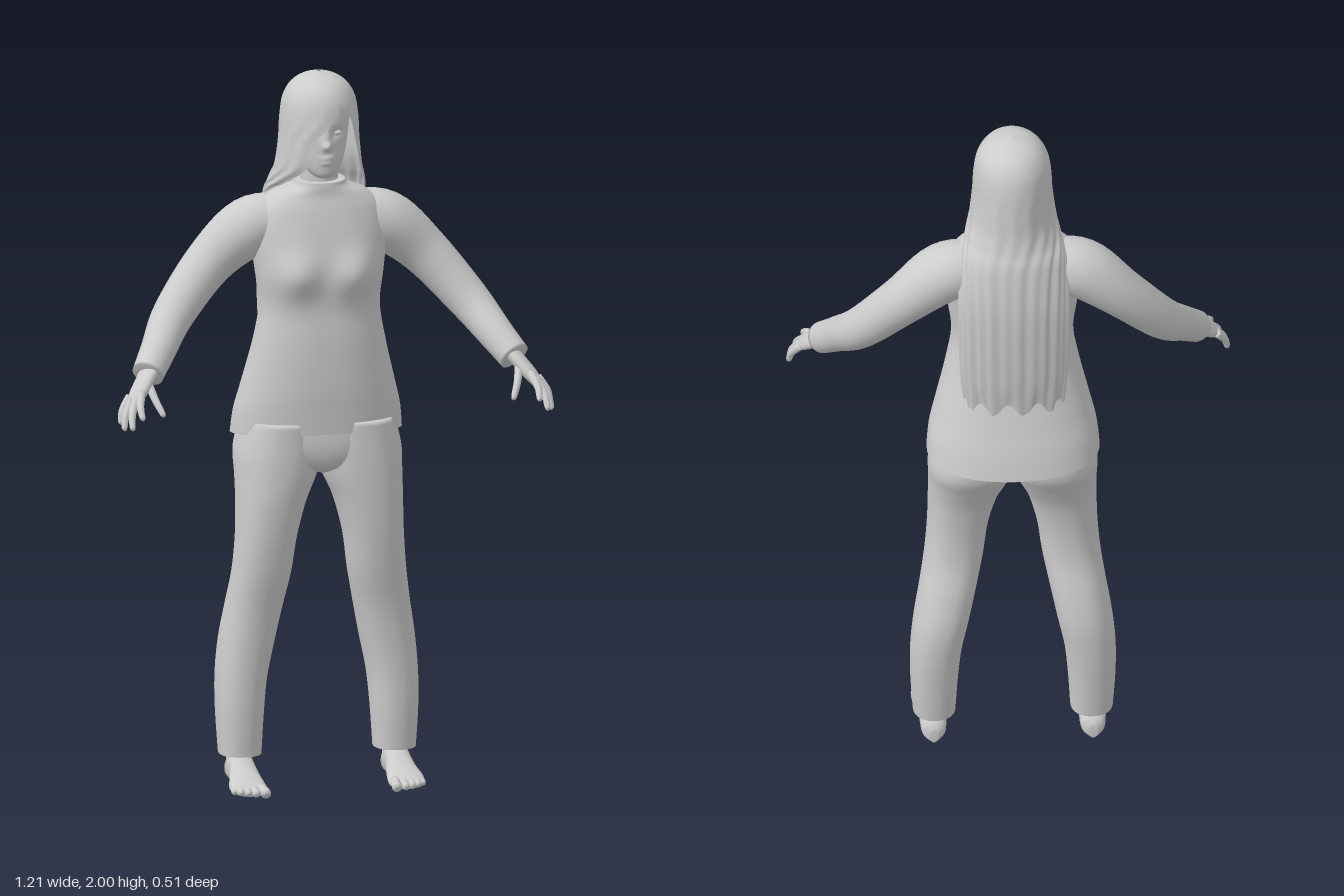
import * as THREE from 'three';

const TAU = Math.PI * 2;
const clay = new THREE.MeshStandardMaterial({ color: 0xcccccc, side: THREE.DoubleSide });
clay.name = 'light grey';

// Catmull-Rom through rows of numbers, column by column
function smooth(rows, steps) {
  const out = [], last = rows.length - 1;
  for (let i = 0; i < last; i++) {
    for (let k = 0; k < steps; k++) {
      const t = k / steps;
      out.push(rows[i].map((b, c) => {
        const a = rows[Math.max(i - 1, 0)][c], d = rows[i + 1][c], e = rows[Math.min(i + 2, last)][c];
        return b + 0.5 * t * (d - a + t * (2 * a - 5 * b + 4 * d - e + t * (3 * (b - d) + e - a)));
      }));
    }
  }
  out.push(rows[last]);
  return out;
}

// Skin over rings; ring(row, u, rowIndex) returns one point
function loft(name, rows, ring, { n = 32, closed = true, capStart = true, capEnd = true } = {}) {
  const pos = [], idx = [], w = closed ? n : n + 1;
  rows.forEach((r, i) => { for (let j = 0; j < w; j++) pos.push(...ring(r, j / n, i)); });
  for (let i = 0; i < rows.length - 1; i++) {
    for (let j = 0; j < n; j++) {
      const a = i * w + j, b = i * w + (j + 1) % w, c = a + w, d = b + w;
      idx.push(a, c, b, b, c, d);
    }
  }
  const cap = (start, flip) => {
    const m = [0, 0, 0], k = pos.length / 3;
    for (let j = 0; j < n; j++) for (let c = 0; c < 3; c++) m[c] += pos[(start + j) * 3 + c] / n;
    pos.push(...m);
    for (let j = 0; j < n; j++) {
      const a = start + j, b = start + (j + 1) % n;
      if (flip) idx.push(k, b, a); else idx.push(k, a, b);
    }
  };
  if (closed && capStart) cap(0, false);
  if (closed && capEnd) cap((rows.length - 1) * w, true);
  const g = new THREE.BufferGeometry();
  g.setAttribute('position', new THREE.Float32BufferAttribute(pos, 3));
  g.setIndex(idx);
  g.computeVertexNormals();
  const mesh = new THREE.Mesh(g, clay);
  mesh.name = name;
  return mesh;
}

const soft = (v, p) => Math.sign(v) * Math.abs(v) ** p;
const bump = (x, y, cx, cy, sx, sy = sx) => Math.exp(-(((x - cx) / sx) ** 2) - ((y - cy) / sy) ** 2);

// Level oval from [y, xMin, xMax, zFront, zBack]
const oval = (p = 0.88) => ([y, x0, x1, zf, zb], u) => [
  (x0 + x1) / 2 + (x1 - x0) / 2 * soft(Math.cos(u * TAU), p), y,
  (zf + zb) / 2 + (zf - zb) / 2 * soft(Math.sin(u * TAU), p)];
const even = rows => rows.map(([y, hw, zf, zb]) => [y, -hw, hw, zf, zb]);

// Tube through [x, y, z, radius]; wide flattens it along a side direction
function limb(name, pts, { steps = 6, n = 20, wide = 1, side = [0, 0, 1], ...opts } = {}) {
  const rows = smooth(pts, steps), at = i => new THREE.Vector3(...rows[i].slice(0, 3));
  const frames = rows.map((r, i) => {
    const t = at(Math.min(i + 1, rows.length - 1)).sub(at(Math.max(i - 1, 0))).normalize();
    const s = new THREE.Vector3(...side);
    s.addScaledVector(t, -s.dot(t)).normalize();
    return [s, s.clone().cross(t)];
  });
  return loft(name, rows, (r, u, i) => at(i)
    .addScaledVector(frames[i][0], r[3] * wide * Math.cos(u * TAU))
    .addScaledVector(frames[i][1], r[3] * Math.sin(u * TAU)).toArray(), { n, ...opts });
}

function blob(name, x, y, z, rx, ry, rz) {
  const m = new THREE.Mesh(new THREE.SphereGeometry(1, 16, 12), clay);
  m.position.set(x, y, z);
  m.scale.set(rx, ry, rz);
  m.name = name;
  return m;
}

function makeShirt() {
  const rows = smooth(even([
    [0.985, 0.237, 0.052, -0.255], [1.05, 0.23, 0.056, -0.238], [1.12, 0.213, 0.06, -0.215],
    [1.25, 0.182, 0.06, -0.178], [1.35, 0.167, 0.054, -0.165], [1.45, 0.178, 0.056, -0.172],
    [1.55, 0.19, 0.044, -0.185], [1.62, 0.175, 0.028, -0.18], [1.66, 0.135, 0.016, -0.16],
    [1.685, 0.08, 0.014, -0.13], [1.70, 0.07, 0.012, -0.122]]), 6);
  const base = oval();
  return loft('shirt', rows, (r, u) => {
    const [x, y, z] = base(r, u);
    const front = Math.sin(u * TAU) > 0 ? 1 : 0;
    const bust = bump(Math.abs(x), y, 0.085, 1.45, 0.06, 0.062) * 0.032 * front;
    const tilt = 0.11 * (z + 0.09) * Math.max(0, 1 - (y - 0.985) / 0.2);
    return [x, y + tilt, z + bust];
  }, { n: 56, capStart: false });
}

function makeHead() {
  const head = new THREE.Group();
  head.name = 'head';
  const base = oval(0.92);
  const face = smooth(even([
    [1.718, 0.022, 0.03, -0.05], [1.728, 0.037, 0.047, -0.07], [1.75, 0.052, 0.053, -0.1],
    [1.79, 0.066, 0.055, -0.13], [1.84, 0.075, 0.055, -0.15], [1.89, 0.079, 0.054, -0.155],
    [1.94, 0.068, 0.035, -0.13], [1.97, 0.04, 0.0, -0.1]]), 8);
  head.add(loft('face', face, (r, u) => {
    const [x, y, z] = base(r, u), ax = Math.abs(x);
    if (Math.sin(u * TAU) <= 0) return [x, y, z];
    const relief = 0.019 * bump(ax, y, 0, 1.814, 0.012, 0.011) + 0.009 * bump(ax, y, 0, 1.84, 0.009, 0.025)
      + 0.007 * bump(ax, y, 0, 1.78, 0.02, 0.006) + 0.007 * bump(ax, y, 0, 1.766, 0.017, 0.006)
      - 0.009 * bump(ax, y, 0.03, 1.848, 0.017, 0.011);
    return [x, y, z + relief];
  }, { n: 80 }));
  for (const s of [1, -1]) head.add(blob('eye', s * 0.03, 1.848, 0.038, 0.014, 0.008, 0.01));
  head.add(limb('neck', [[0, 1.62, -0.065, 0.058], [0, 1.70, -0.058, 0.052], [0, 1.79, -0.055, 0.052]]));
  return head;
}

// Rows: y, half width, zFront, zMiddle, zBack, then the angles where the hair edge starts and ends
function makeHair() {
  const rows = smooth([
    [2.0, 0.004, -0.055, -0.06, -0.065, 0.3, 0.3], [1.99, 0.045, -0.005, -0.06, -0.11, 0.3, 0.3],
    [1.967, 0.078, 0.034, -0.06, -0.148, 0.3, 0.3], [1.93, 0.099, 0.057, -0.06, -0.172, 0.35, 0.4],
    [1.88, 0.107, 0.067, -0.06, -0.183, 0.1, 0.72], [1.82, 0.11, 0.07, -0.06, -0.188, -0.36, 0.9],
    [1.75, 0.118, 0.062, -0.065, -0.192, -0.5, 1.05], [1.70, 0.13, 0.03, -0.09, -0.2, -0.9, 1.2],
    [1.64, 0.142, -0.03, -0.135, -0.216, -1.35, 1.4], [1.5, 0.15, -0.09, -0.165, -0.23, -1.6, 1.6],
    [1.3, 0.146, -0.11, -0.165, -0.222, -1.6, 1.6], [1.175, 0.135, -0.12, -0.16, -0.207, -1.6, 1.6]], 7).reverse();
  return loft('longHair', rows, ([y, hw, zf, zm, zb, r, l], u) => {
    const a = l + (TAU + r - l) * u;
    const low = Math.min(1, Math.max(0, (1.95 - y) / 0.4));
    const wave = 1 + 0.02 * low * Math.sin(u * 75) + 0.012 * low * Math.sin(u * 41);
    const c = Math.cos(a), ragged = y < 1.25 ? (1.25 - y) * 0.25 * Math.sin(u * 31) : 0;
    return [hw * wave * Math.sin(a), y + ragged, zm + wave * c * (c > 0 ? zf - zm : zm - zb)];
  }, { n: 96, closed: false });
}

function makeArm() {
  const arm = new THREE.Group();
  arm.add(limb('sleeve', [
    [0.09, 1.585, -0.08, 0.07], [0.19, 1.563, -0.085, 0.083], [0.30, 1.472, -0.083, 0.068],
    [0.41, 1.345, -0.03, 0.058], [0.47, 1.265, 0.05, 0.049], [0.512, 1.21, 0.108, 0.044]], { n: 28 }));
  const across = [-0.03, 0.02, 0.045];
  arm.add(limb('palm', [
    [0.50, 1.225, 0.09, 0.022], [0.518, 1.205, 0.118, 0.02], [0.545, 1.172, 0.15, 0.019],
    [0.564, 1.148, 0.172, 0.014]], { side: across, wide: 1.75 }));
  // Knuckle, then tip
  [['indexFinger', 0.545, 1.168, 0.186, 0.555, 1.118, 0.25], ['middleFinger', 0.56, 1.152, 0.18, 0.581, 1.087, 0.236],
    ['ringFinger', 0.569, 1.147, 0.165, 0.598, 1.08, 0.204], ['littleFinger', 0.573, 1.15, 0.145, 0.602, 1.09, 0.17],
    ['thumb', 0.516, 1.194, 0.138, 0.488, 1.115, 0.213]].forEach(([name, x, y, z, X, Y, Z]) => {
    const p = (t, r, lift = 0) => [x + (X - x) * t + lift, y + (Y - y) * t + lift, z + (Z - z) * t, r];
    arm.add(limb(name, [p(-0.15, 0.012), p(0.5, 0.0105, 0.005), p(0.92, 0.008), p(1, 0.003)],
      { n: 12, steps: 4, side: across }));
  });
  return arm;
}

function makeLeg() {
  const leg = new THREE.Group();
  leg.add(loft('trouserLeg', smooth([
    [0.085, 0.157, 0.274, -0.018, -0.155], [0.2, 0.15, 0.281, -0.01, -0.17], [0.3, 0.14, 0.281, -0.008, -0.181],
    [0.4, 0.12, 0.272, -0.004, -0.185], [0.5, 0.1, 0.256, 0.006, -0.17], [0.6, 0.08, 0.241, 0.026, -0.148],
    [0.7, 0.066, 0.233, 0.041, -0.147], [0.8, 0.04, 0.231, 0.05, -0.163], [0.87, 0.01, 0.231, 0.053, -0.19],
    [0.94, -0.01, 0.231, 0.053, -0.222], [1.03, -0.01, 0.21, 0.05, -0.22]], 5), oval(), { n: 36, capStart: false }));
  leg.add(limb('ankle', [[0.218, 0.16, -0.085, 0.042], [0.218, 0.09, -0.085, 0.036], [0.218, 0.035, -0.085, 0.037]]));
  // Rows run heel to toe: z, centre x, half width, top
  leg.add(loft('foot', smooth([
    [-0.138, 0.218, 0.012, 0.04], [-0.122, 0.218, 0.032, 0.065], [-0.08, 0.218, 0.037, 0.092],
    [-0.04, 0.218, 0.037, 0.084], [0, 0.219, 0.043, 0.06], [0.04, 0.221, 0.05, 0.042],
    [0.072, 0.219, 0.049, 0.03], [0.085, 0.215, 0.038, 0.022]], 5), ([z, x, hw, top], u) => [
    x + hw * Math.cos(u * TAU), top / 2 - top / 2 * soft(Math.sin(u * TAU), 0.8), z]));
  [[0.183, 0.122, 0.0145], [0.209, 0.118, 0.011], [0.229, 0.109, 0.0105], [0.247, 0.097, 0.01], [0.262, 0.082, 0.0095]]
    .forEach(([x, tip, r]) => leg.add(limb('toe', [
      [x + (0.22 - x) * 0.15, 0.018, tip - 0.06, r], [x, 0.017, tip - 0.022, r * 0.9], [x, 0.013, tip - 0.006, r * 0.95],
      [x, 0.011, tip, r * 0.4]], { n: 12, steps: 4, side: [1, 0, 0] })));
  return leg;
}

export function createModel() {
  const model = new THREE.Group();
  model.name = 'standingWoman';
  model.add(makeShirt(), makeHead(), makeHair());
  model.add(loft('trouserSeat', smooth(even([
    [0.885, 0.03, 0.01, -0.13], [0.91, 0.11, 0.04, -0.18], [0.96, 0.205, 0.051, -0.215],
    [1.03, 0.205, 0.048, -0.215]]), 5), oval()));
  for (const [label, s] of [['left', 1], ['right', -1]]) {
    const arm = makeArm(), leg = makeLeg();
    arm.name = label + 'Arm';
    leg.name = label + 'Leg';
    arm.scale.x = leg.scale.x = s;
    model.add(arm, leg);
  }
  return model;
}
